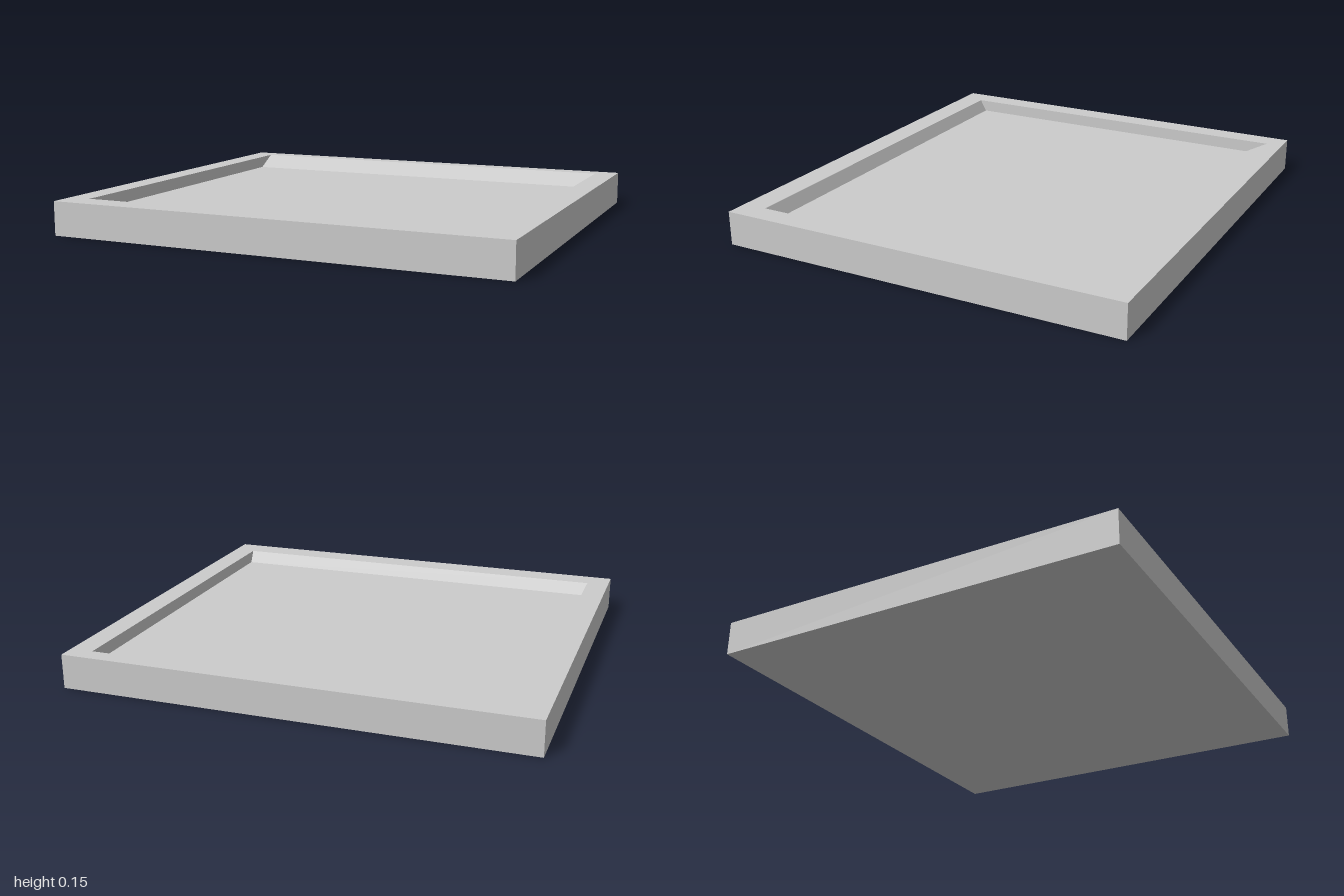
import * as THREE from 'three';

const WIDTH = 2, DEPTH = 1.8, HEIGHT = 0.148, FLOOR = 0.093, RAIL = 0.1;

export function createModel() {
  const tray = new THREE.Group();
  tray.name = 'tray';
  const material = new THREE.MeshStandardMaterial({ color: 0xcccccc, flatShading: true });
  const add = (name, geometry, x = 0, y = 0) => {
    const mesh = new THREE.Mesh(geometry, material);
    mesh.name = name;
    mesh.position.set(x, y, 0);
    tray.add(mesh);
  };

  // Floor with front and back rims, as a (z, y) section swept across x:
  // a gentle slope at the back, a steep one at the front
  const half = DEPTH / 2, inner = WIDTH - 2 * RAIL;
  const section = new THREE.Shape([
    [-half, 0], [half, 0], [half, HEIGHT], [0.79, HEIGHT], [0.76, FLOOR],
    [-0.725, FLOOR], [-0.825, HEIGHT], [-half, HEIGHT],
  ].map(([z, y]) => new THREE.Vector2(z, y)));
  const bed = new THREE.ExtrudeGeometry(section, { depth: inner, bevelEnabled: false });
  bed.rotateY(-Math.PI / 2).translate(inner / 2, 0, 0);
  add('slopedBed', bed);

  // Straight side rails
  for (const [name, side] of [['leftRail', 1], ['rightRail', -1]]) {
    add(name, new THREE.BoxGeometry(RAIL, HEIGHT, DEPTH), side * (WIDTH - RAIL) / 2, HEIGHT / 2);
  }
  return tray;
}
